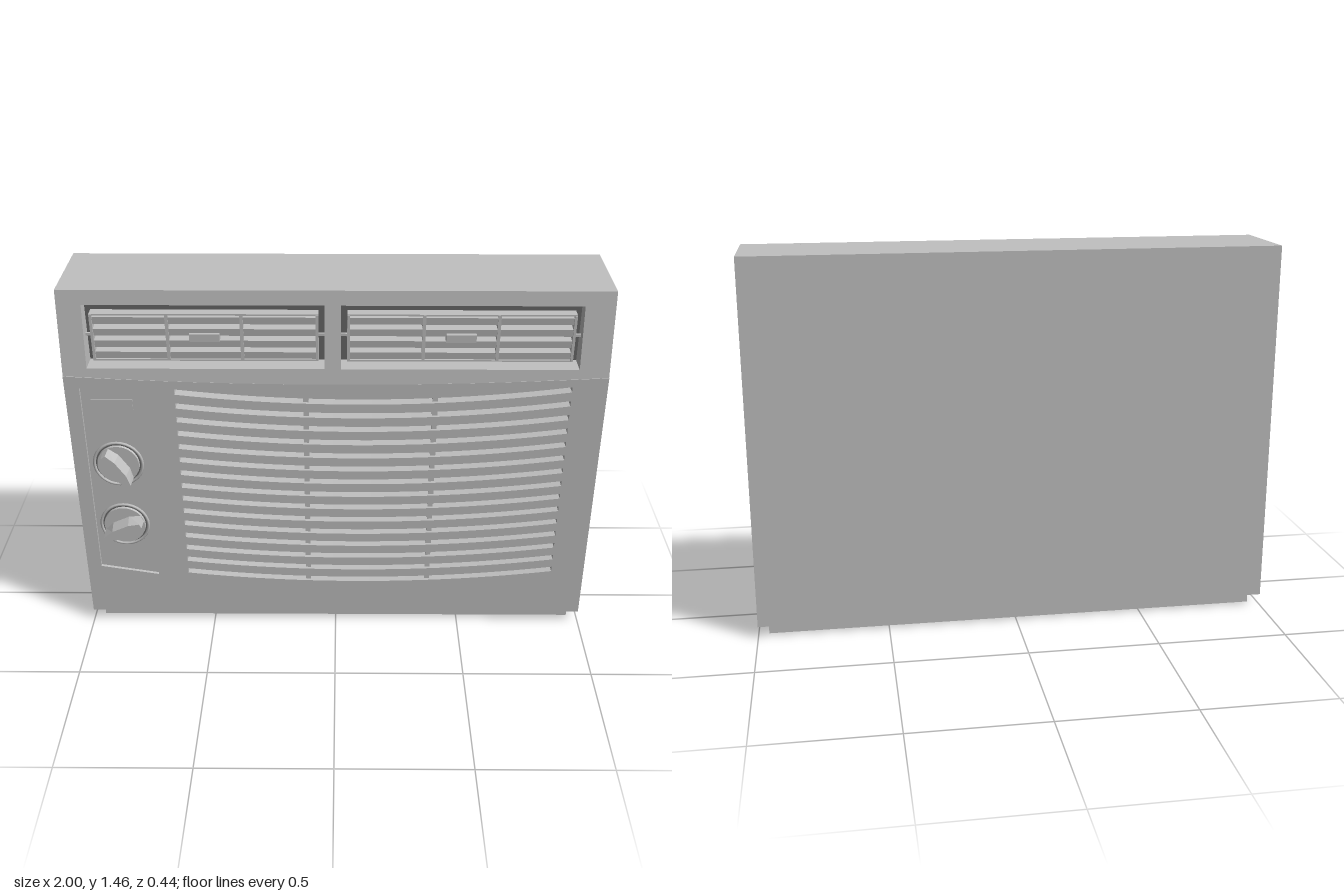
import * as THREE from 'three';

export function createModel() {
  const model = new THREE.Group();
  model.name = 'windowAirConditioner';
  const plastic = new THREE.MeshStandardMaterial({ color: 0xc0c0c0 });
  plastic.name = 'grey plastic';
  const dark = new THREE.MeshStandardMaterial({ color: 0x686868 });
  dark.name = 'dark interior';

  const add = (name, geo, x = 0, y = 0, z = 0, mat = plastic, parent = model) => {
    const mesh = new THREE.Mesh(geo, mat);
    mesh.name = name;
    mesh.position.set(x, y, z);
    parent.add(mesh);
    return mesh;
  };
  // box given by its limits
  const block = (name, x0, x1, y0, y1, z0, z1, mat = plastic, parent = model) =>
    add(name, new THREE.BoxGeometry(x1 - x0, y1 - y0, z1 - z0),
      (x0 + x1) / 2, (y0 + y1) / 2, (z0 + z1) / 2, mat, parent);
  const outline = (pts) => pts.map(([x, y]) => new THREE.Vector2(x, y));
  const rect = (x0, x1, y0, y1) => outline([[x0, y0], [x1, y0], [x1, y1], [x0, y1]]);

  const BACK = 0.08, FRONT = 0.17, TOP = 1.455, SEAM = 1.1;
  const slopeZ = (y) => FRONT - (y - SEAM) * 0.04 / (TOP - SEAM);

  // cabinet and base tray
  block('cabinet', -1, 1, 0.045, TOP, -0.22, BACK);
  block('baseTray', -0.96, 0.96, 0, 0.05, -0.185, 0.135);

  // lower front panel, its top edge dipping in the middle
  const pts = [[-1, 0.045], [1, 0.045]];
  for (let i = 0; i <= 24; i++) {
    const x = 1 - i / 12;
    pts.push([x, SEAM + 0.03 * x * x]);
  }
  const panel = new THREE.Shape(outline(pts));

  // curved intake slots
  const ROWS = 15, STEPS = 20, HALF = 0.011;
  const sag = (x) => 0.0865 * (x - 0.08) ** 2;
  for (let r = 0; r < ROWS; r++) {
    const y0 = 0.21 + r * 0.0584;
    const lower = [], upper = [];
    for (let i = 0; i <= STEPS; i++) {
      const x = -0.595 + 1.465 * i / STEPS;
      lower.push([x, y0 + sag(x) - HALF]);
      upper.unshift([x, y0 + sag(x) + HALF]);
    }
    panel.holes.push(new THREE.Path(outline([...lower, ...upper])));
  }

  // opening for the control panel
  const controlPts = outline([[-0.945, 0.27], [-0.715, 0.23], [-0.715, 1.065], [-0.945, 1.08]]);
  panel.holes.push(new THREE.Path(controlPts));
  add('frontGrille', new THREE.ExtrudeGeometry(panel,
    { depth: FRONT - BACK, bevelEnabled: false }), 0, 0, BACK);
  block('grilleInterior', -0.62, 0.9, 0.17, 1.095, BACK, BACK + 0.004, dark);
  for (const x of [-0.11, 0.37]) block('grilleRib', x - 0.01, x + 0.01, 0.19, 1.06, BACK, 0.158);

  // sloping upper front with two outlet openings
  const vents = [[-0.91, -0.04], [0.02, 0.89]];
  const upperShape = new THREE.Shape(rect(-1, 1, SEAM, TOP));
  for (const [x0, x1] of vents) upperShape.holes.push(new THREE.Path(rect(x0, x1, 1.16, 1.4)));
  const upperGeo = new THREE.ExtrudeGeometry(upperShape, { depth: 1, bevelEnabled: false });
  const p = upperGeo.attributes.position;
  for (let i = 0; i < p.count; i++) p.setZ(i, p.getZ(i) > 0.5 ? slopeZ(p.getY(i)) : BACK);
  upperGeo.computeVertexNormals();
  add('upperFront', upperGeo);

  // louvred air outlets
  for (const [x0, x1] of vents) {
    const vent = new THREE.Group();
    vent.name = 'airOutlet';
    model.add(vent);
    const a = x0 + 0.022, b = x1 - 0.022, mid = (x0 + x1) / 2;
    block('outletInterior', x0, x1, 1.16, 1.4, BACK, BACK + 0.004, dark, vent);
    for (let i = 0; i < 4; i++) {
      const y = 1.2 + i * 0.046;
      const blade = block('louvre', a, b, y - 0.014, y + 0.014, 0.092, 0.128, plastic, vent);
      blade.rotation.x = 0.12;
    }
    // frame ends, rails, pivots and vertical vanes
    for (const x of [a, b - 0.01]) block('louvreEnd', x, x + 0.01, 1.18, 1.36, 0.09, 0.134, plastic, vent);
    for (const y of [1.176, 1.357]) block('louvreRail', a, b, y, y + 0.006, 0.09, 0.13, plastic, vent);
    for (const x of [x0, b]) block('pivot', x, x + 0.022, 1.27, 1.28, 0.105, 0.115, plastic, vent);
    for (const s of [-0.135, 0.135])
      block('vane', mid + s - 0.006, mid + s + 0.006, 1.18, 1.36, 0.086, 0.132, plastic, vent);
    block('louvreTab', mid - 0.055, mid + 0.055, 1.258, 1.288, 0.1, 0.142, plastic, vent);
  }

  // recessed control panel
  add('controlPanel', new THREE.ExtrudeGeometry(new THREE.Shape(controlPts),
    { depth: 0.078, bevelEnabled: false }), 0, 0, BACK);
  block('labelPlate', -0.91, -0.755, 0.985, 1.03, 0.156, 0.162);

  // rotary knobs: dial, rim and tapered grip
  const gripShape = new THREE.Shape(outline([[-0.078, -0.014], [-0.035, -0.03], [0.035, -0.03],
    [0.078, -0.014], [0.078, 0.014], [0.035, 0.03], [-0.035, 0.03], [-0.078, 0.014]]));
  const gripGeo = new THREE.ExtrudeGeometry(gripShape, { depth: 0.06, bevelEnabled: false });
  const g = gripGeo.attributes.position;
  for (let i = 0; i < g.count; i++) if (g.getZ(i) > 0.03) g.setY(i, g.getY(i) * 0.7);
  gripGeo.computeVertexNormals();
  for (const [y, angle] of [[0.75, -0.98], [0.47, 0.42]]) {
    const knob = new THREE.Group();
    knob.name = 'controlKnob';
    knob.position.set(-0.832, y, 0.158);
    model.add(knob);
    const dial = add('dial', new THREE.CylinderGeometry(0.08, 0.082, 0.014, 32), 0, 0, 0.005, plastic, knob);
    dial.rotation.x = Math.PI / 2;
    const gap = add('dialGap', new THREE.RingGeometry(0.08, 0.09, 32), 0, 0, 0.002, dark, knob);
    gap.name = 'dialGap';
    add('dialRim', new THREE.TorusGeometry(0.092, 0.006, 6, 32), 0, 0, 0.003, plastic, knob);
    const grip = add('grip', gripGeo, 0, 0, 0.007, plastic, knob);
    grip.rotation.z = angle;
  }

  return model;
}
